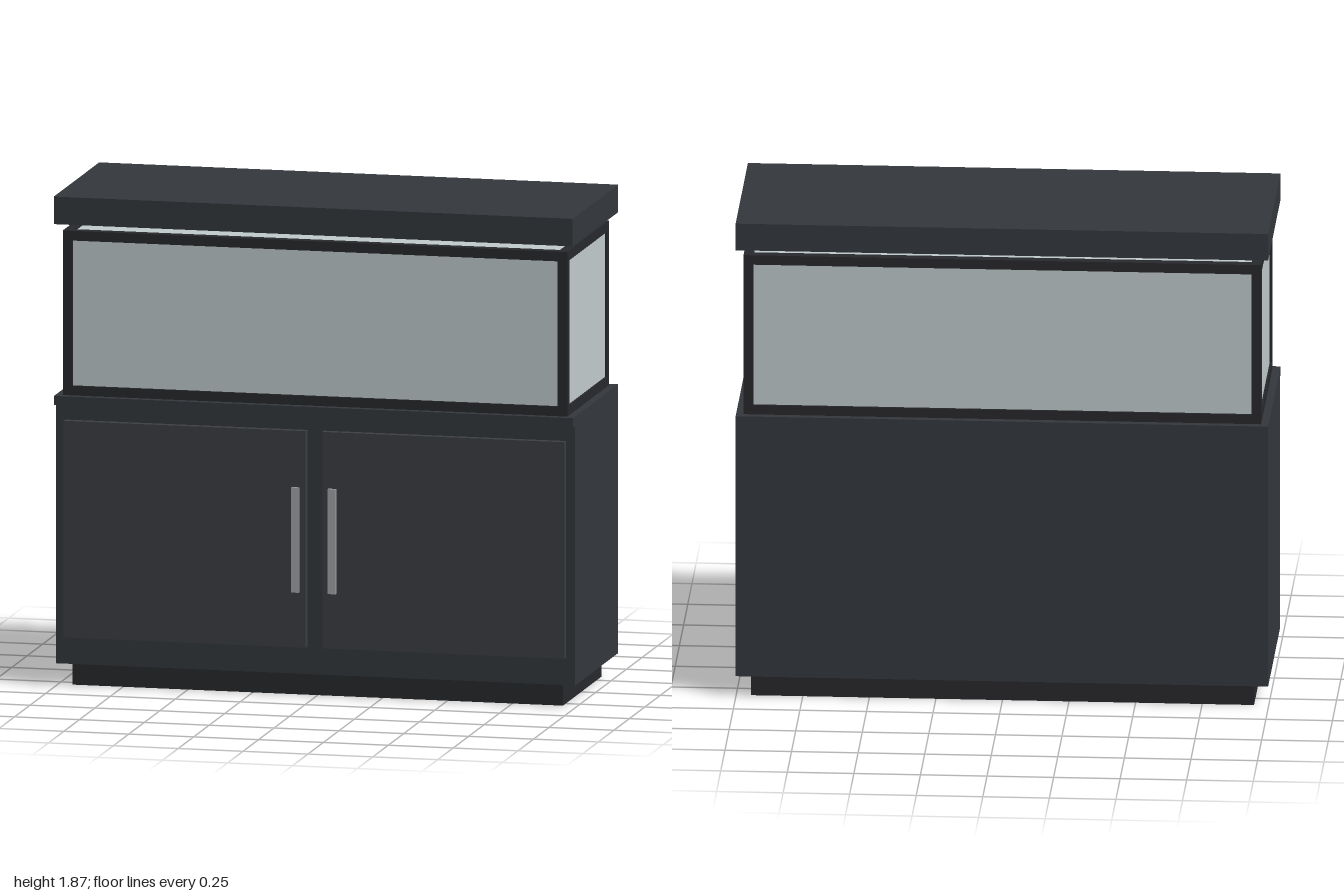
import * as THREE from 'three';

const paint = (color) => new THREE.MeshStandardMaterial({ color });

export function createModel() {
  const model = new THREE.Group();
  model.name = 'aquariumCabinet';
  const body = paint(0x34383d), panel = paint(0x3c3e43), trim = paint(0x28292c);
  const metal = paint(0xa3a5a7), glass = paint(0xc2cccd);

  // Box given by its extents on each axis
  const box = (name, material, [x0, x1], [y0, y1], [z0, z1], parent = model) => {
    const mesh = new THREE.Mesh(new THREE.BoxGeometry(x1 - x0, y1 - y0, z1 - z0), material);
    mesh.position.set((x0 + x1) / 2, (y0 + y1) / 2, (z0 + z1) / 2);
    mesh.name = name;
    parent.add(mesh);
    return mesh;
  };

  // Cabinet
  box('plinth', trim, [-0.945, 0.945], [0, 0.085], [-0.33, 0.295]);
  box('cabinetBody', body, [-1, 1], [0.085, 1.075], [-0.365, 0.328]);
  box('countertop', body, [-1, 1], [1.075, 1.11], [-0.365, 0.365]);

  // Doors and handles, mirrored about the centre
  for (const [side, s] of [['left', 1], ['right', -1]]) {
    const span = (a, b) => (s > 0 ? [a, b] : [-b, -a]);
    box(side + 'Door', panel, span(0.032, 0.965), [0.19, 1.015], [0.328, 0.355]);
    box(side + 'Handle', metal, span(0.055, 0.086), [0.4, 0.8], [0.355, 0.367]);
  }

  // Tank: glass block held by a frame of square bars
  const X = 0.972, Z = 0.338, Y0 = 1.11, Y1 = 1.737, t = 0.037;
  box('tankGlass', glass, [-X + 0.008, X - 0.008], [Y0 + 0.008, Y1 - 0.008], [-Z + 0.008, Z - 0.008]);
  const frame = new THREE.Group();
  frame.name = 'tankFrame';
  model.add(frame);
  const ends = (limit) => [[-limit, -limit + t], [limit - t, limit]];
  const levels = [[Y0, Y0 + t], [Y1 - t, Y1]];
  for (const z of ends(Z)) {
    for (const y of levels) box('longRail', trim, [-X, X], y, z, frame);
    for (const x of ends(X)) box('cornerPost', trim, x, [Y0 + t, Y1 - t], z, frame);
  }
  for (const x of ends(X))
    for (const y of levels) box('sideRail', trim, x, y, [-Z + t, Z - t], frame);

  // Lid, hovering just above the tank
  box('lid', body, [-1, 1], [1.765, 1.87], [-0.367, 0.367]);

  return model;
}
